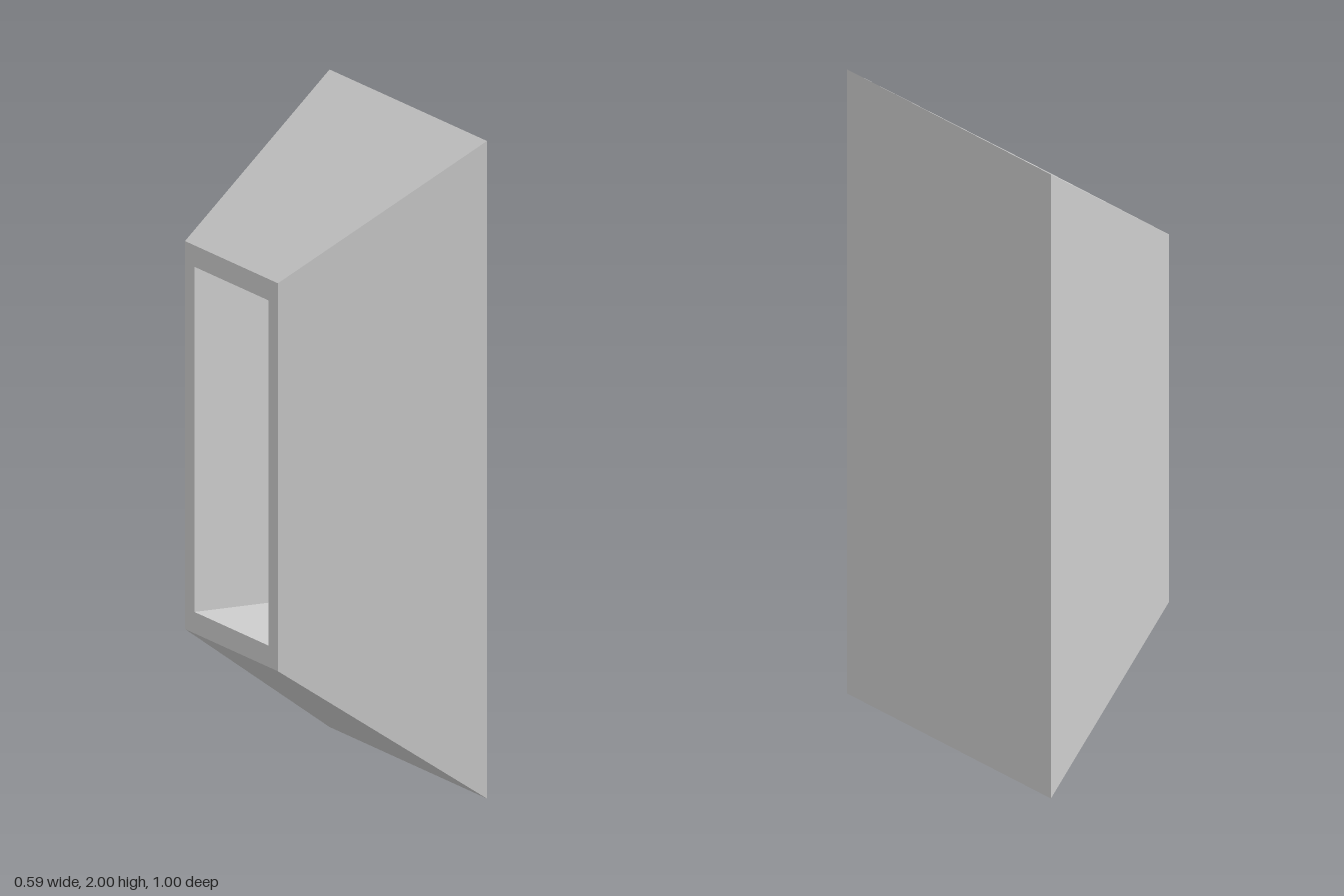
import * as THREE from 'three';

// Rectangle ring at a given x, counter-clockwise seen from +x
const ring = (x, halfY, halfZ) =>
  [[-1, -1], [1, -1], [1, 1], [-1, 1]].map(([sy, sz]) => [x, 1 + sy * halfY, sz * halfZ]);

// Flat-faced mesh from a list of quads
function quadMesh(name, quads, material) {
  const points = quads.flatMap(([a, b, c, d]) => [a, b, c, a, c, d]).flat();
  const geometry = new THREE.BufferGeometry();
  geometry.setAttribute('position', new THREE.Float32BufferAttribute(points, 3));
  geometry.computeVertexNormals();
  const mesh = new THREE.Mesh(geometry, material);
  mesh.name = name;
  return mesh;
}

// Four quads joining two rings
const band = (a, b) => a.map((p, i) => {
  const j = (i + 1) % 4;
  return [a[j], p, b[i], b[j]];
});

export function createModel() {
  const group = new THREE.Group();
  group.name = 'taperedHousing';
  const grey = new THREE.MeshStandardMaterial({ color: 0xcccccc });
  grey.name = 'grey';

  const wide = ring(0.295, 1, 0.5);
  const narrow = ring(-0.295, 0.59, 0.295);
  const mouth = ring(-0.295, 0.525, 0.235);
  const pocketEnd = ring(0.236, 0.525, 0.235);

  group.add(
    // Closed wide end with four sloping sides
    quadMesh('outerShell', [wide, ...band(wide, narrow)], grey),
    // Rim around the opening in the narrow end
    quadMesh('openingFrame', band(narrow, mouth), grey),
    // Straight recess behind the opening
    quadMesh('recess', [...band(mouth, pocketEnd), [...pocketEnd].reverse()], grey),
  );
  return group;
}
